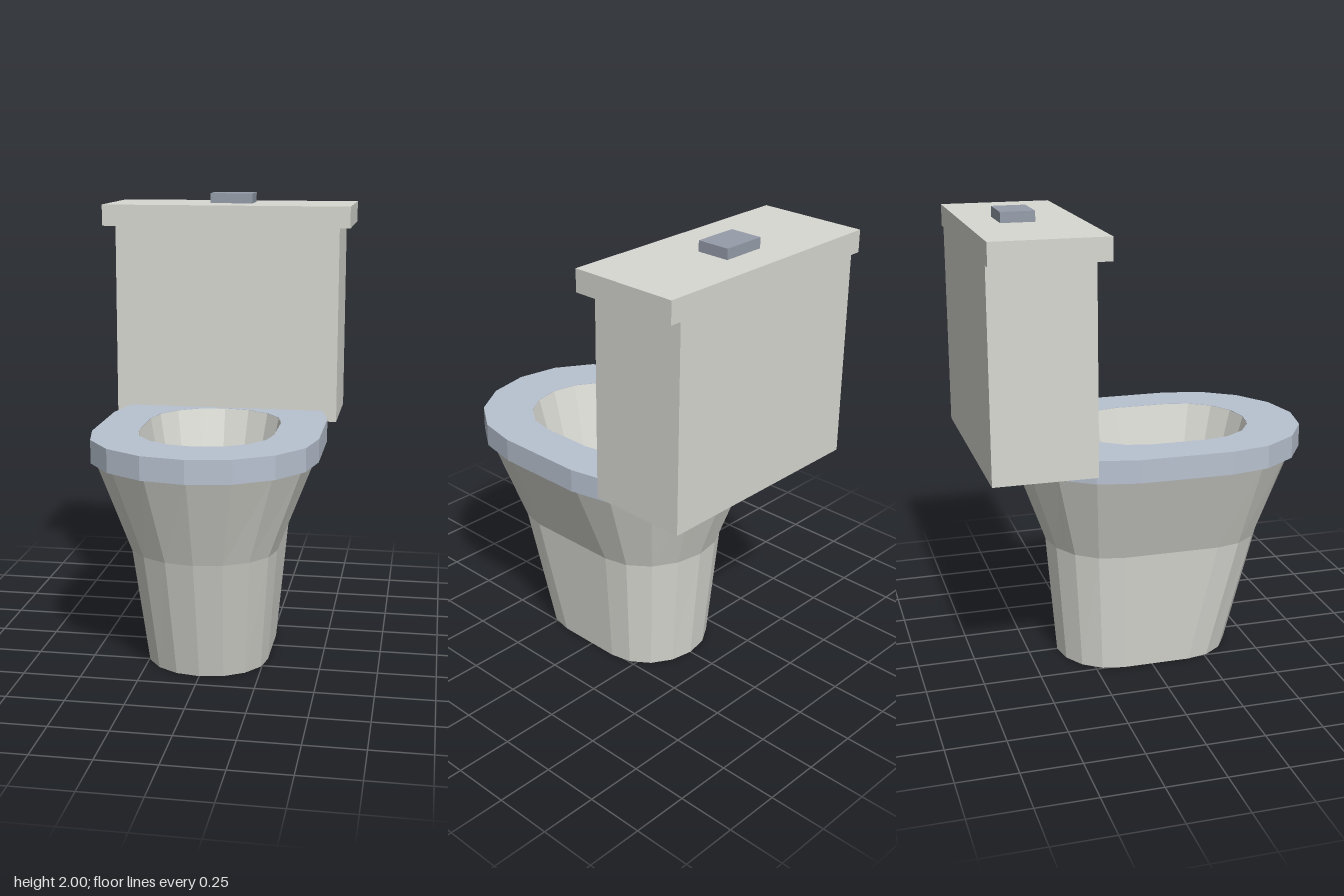
import * as THREE from 'three';

const material = (color) => new THREE.MeshStandardMaterial({ color, flatShading: true });

// Stadium-like ring: two half ellipses (8 sides each) joined by straight sides.
function ring(y, rx, rz, straight, zc) {
  const points = [];
  for (const half of [1, -1]) {
    for (let i = 0; i <= 8; i++) {
      const a = -Math.PI / 2 + (i * Math.PI) / 8;
      points.push(new THREE.Vector3(half * rx * Math.sin(a), y, zc + half * (straight + rz * Math.cos(a))));
    }
  }
  return points;
}

// Skin between successive rings, with optional flat caps on the first and last.
function loft(rings, capFirst = false, capLast = false) {
  const positions = [];
  const tri = (...corners) => corners.forEach((p) => positions.push(p.x, p.y, p.z));
  const n = rings[0].length;
  const centre = (r) => r.reduce((sum, p) => sum.add(p), new THREE.Vector3()).divideScalar(n);
  const first = rings[0], last = rings[rings.length - 1];
  for (let i = 0; i < n; i++) {
    const j = (i + 1) % n;
    for (let k = 0; k < rings.length - 1; k++) {
      const a = rings[k], b = rings[k + 1];
      tri(a[i], a[j], b[j]);
      tri(a[i], b[j], b[i]);
    }
    if (capFirst) tri(centre(first), first[j], first[i]);
    if (capLast) tri(centre(last), last[i], last[j]);
  }
  const geometry = new THREE.BufferGeometry();
  geometry.setAttribute('position', new THREE.Float32BufferAttribute(positions, 3));
  geometry.computeVertexNormals();
  return geometry;
}

export function createModel() {
  const model = new THREE.Group();
  model.name = 'toilet';
  const ceramic = material(0xd8d8d2);
  const seatPlastic = material(0xb8c2d0);
  const metal = material(0x959daa);
  const waterBlue = material(0x70a5c0);

  const add = (name, geometry, mat) => {
    const mesh = new THREE.Mesh(geometry, mat);
    mesh.name = name;
    model.add(mesh);
    return mesh;
  };
  const box = (name, width, y0, y1, z0, z1, mat) =>
    add(name, new THREE.BoxGeometry(width, y1 - y0, z1 - z0), mat)
      .position.set(0, (y0 + y1) / 2, (z0 + z1) / 2);

  // Pedestal and bowl: up the outside, over the rim, down the inside
  add('bowl', loft([
    ring(0, 0.265, 0.24, 0.15, 0.02),
    ring(0.54, 0.315, 0.27, 0.213, 0.07),
    ring(0.93, 0.465, 0.43, 0.198, 0.075),
    ring(1.029, 0.291, 0.274, 0.12, 0.11),
    ring(0.68, 0.223, 0.206, 0.09, 0.112),
  ], true), ceramic);

  // Water surface at the bottom of the bowl
  add('water', loft([ring(0.69, 0.225, 0.208, 0.09, 0.112)], false, true), waterBlue);

  // Seat: closed band with an oval opening
  const seatOuter = (y) => ring(y, 0.485, 0.455, 0.2, 0.08);
  const seatInner = (y) => ring(y, 0.292, 0.275, 0.12, 0.11);
  add('seat', loft([seatOuter(0.93), seatOuter(1.03), seatInner(1.03), seatInner(0.93), seatOuter(0.93)]), seatPlastic);

  // Cistern with overhanging lid and flush button
  box('tank', 1.02, 0.98, 1.86, -0.735, -0.3, ceramic);
  box('tankLid', 1.12, 1.86, 1.955, -0.735, -0.25, ceramic);
  box('flushButton', 0.195, 1.955, 2, -0.595, -0.45, metal);

  return model;
}
